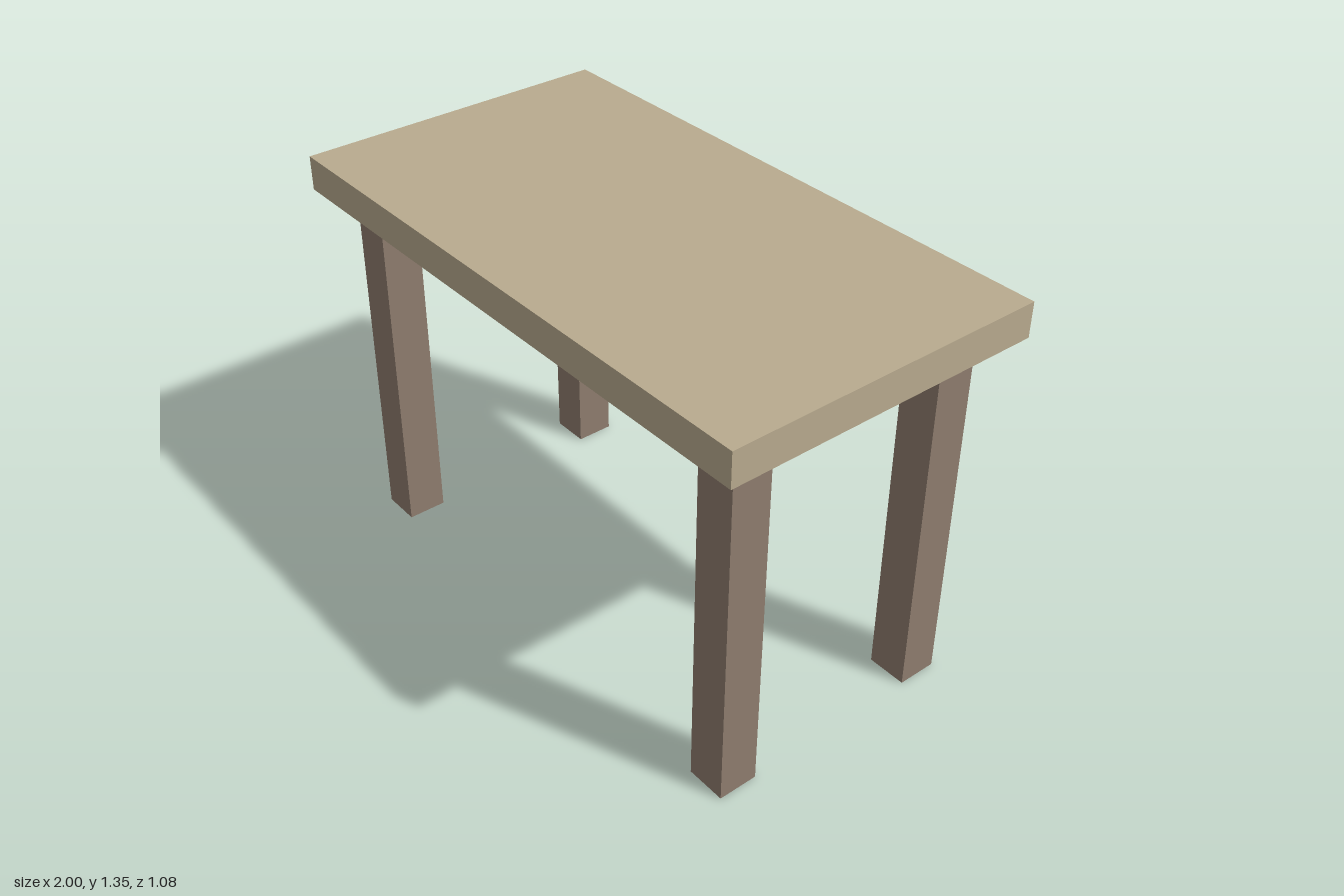
import * as THREE from 'three';

const TOP_Y = 1.35, TOP_THICK = 0.115, LEG = 0.134;
const LEG_X = 0.834, LEG_Z = 0.376;

export function createModel() {
  const table = new THREE.Group();
  table.name = 'table';
  const topMaterial = new THREE.MeshStandardMaterial({ color: 0xb9ab8f });
  const legMaterial = new THREE.MeshStandardMaterial({ color: 0x8f7d6f });

  // Slab top
  const top = new THREE.Mesh(new THREE.BoxGeometry(2, TOP_THICK, 1.082), topMaterial);
  top.name = 'tableTop';
  top.position.y = TOP_Y - TOP_THICK / 2;
  table.add(top);

  // Four square legs, inset from the corners
  const legHeight = TOP_Y - TOP_THICK;
  const legGeometry = new THREE.BoxGeometry(LEG, legHeight, LEG);
  for (const [zName, sz] of [['front', 1], ['back', -1]]) {
    for (const [xName, sx] of [['Left', 1], ['Right', -1]]) {
      const leg = new THREE.Mesh(legGeometry, legMaterial);
      leg.name = `${zName}${xName}Leg`;
      leg.position.set(sx * LEG_X, legHeight / 2, sz * LEG_Z);
      table.add(leg);
    }
  }
  return table;
}
